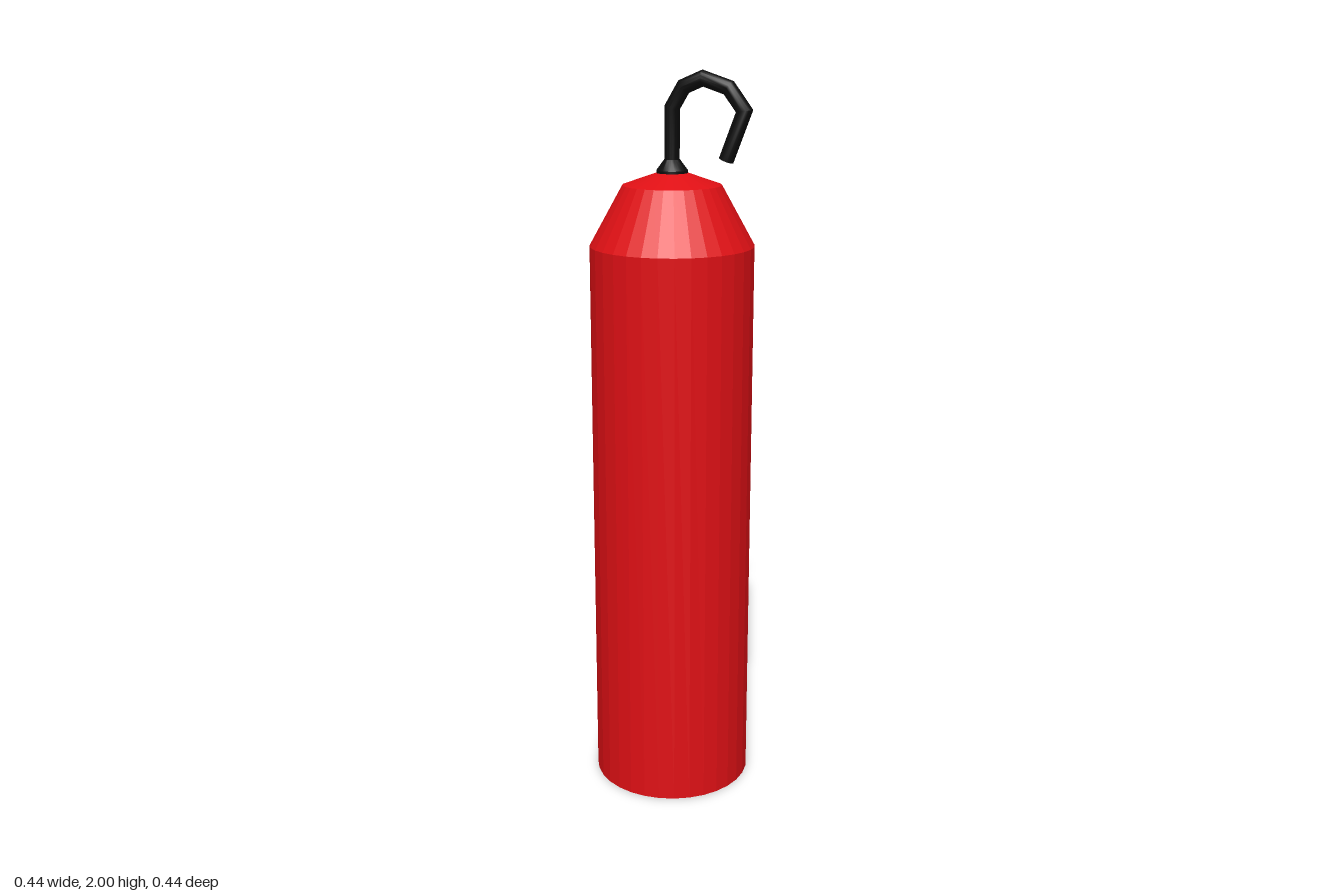
import * as THREE from 'three';
import { toCreasedNormals } from 'three/addons/utils/BufferGeometryUtils.js';

const red = new THREE.MeshStandardMaterial({ color: 0xe01015, flatShading: true });
const black = new THREE.MeshStandardMaterial({ color: 0x0c0c0c });

const vectors = (list) => list.map(([x, y]) => new THREE.Vector2(x, y));

function addMesh(group, name, geometry, material) {
  const mesh = new THREE.Mesh(geometry, material);
  mesh.name = name;
  group.add(mesh);
}

// Round bar that follows a bent line in the XY plane, with mitred corners.
function bentBar(path, radius, sides) {
  const last = path.length - 1;
  const bar = new THREE.CylinderGeometry(radius, radius, 1, sides, last);
  const pos = bar.attributes.position;
  const direction = (i) => path[i + 1].clone().sub(path[i]).normalize();
  const rings = path.map((point, i) => {
    const before = direction(Math.max(i - 1, 0));
    const after = direction(Math.min(i, last - 1));
    const along = before.clone().add(after).normalize();
    const stretch = 1 / along.dot(before);
    return { point, side: new THREE.Vector2(along.y, -along.x).multiplyScalar(stretch) };
  });
  for (let i = 0; i < pos.count; i++) {
    const { point, side } = rings[Math.round((pos.getY(i) + 0.5) * last)];
    const x = pos.getX(i);
    pos.setXY(i, point.x + side.x * x, point.y + side.y * x);
  }
  return toCreasedNormals(bar, 0.6);
}

export function createModel() {
  const model = new THREE.Group();
  model.name = 'hangingCylinder';

  // Closed body: flat base, straight wall, sloped shoulder and shallow cap
  const profile = vectors([[0, 0], [0.221, 0], [0.221, 1.546], [0.132, 1.706], [0, 1.752]]);
  addMesh(model, 'body', new THREE.LatheGeometry(profile, 32), red);

  // Flared collar where the hook enters the cap
  const collar = new THREE.LatheGeometry(
    vectors([[0, 1.735], [0.042, 1.735], [0.042, 1.744], [0.021, 1.772], [0, 1.772]]), 24);
  addMesh(model, 'collar', toCreasedNormals(collar, 0.5), black);

  // Hook: straight stem bent over toward +x with an open end
  const hookPath = vectors([
    [0, 1.74], [0, 1.905], [0.032, 1.958], [0.084, 1.98],
    [0.155, 1.957], [0.198, 1.9], [0.15, 1.774],
  ]);
  addMesh(model, 'hook', bentBar(hookPath, 0.02, 16), black);

  return model;
}
